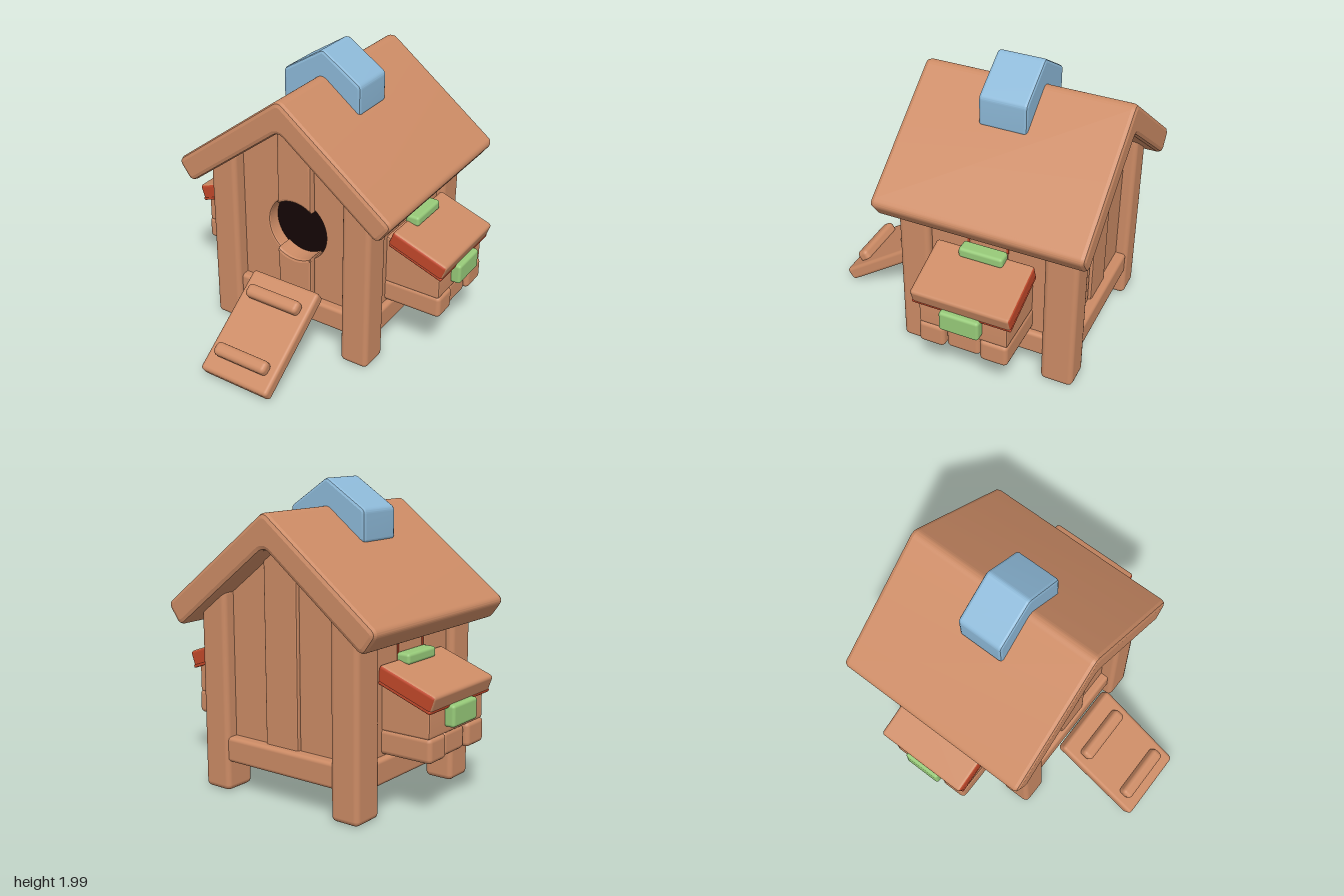
import * as THREE from 'three';
import { toCreasedNormals } from 'three/addons/utils/BufferGeometryUtils.js';
import { RoundedBoxGeometry } from 'three/addons/geometries/RoundedBoxGeometry.js';

const mat = (name, color) => {
  const m = new THREE.MeshStandardMaterial({ color });
  m.name = name;
  return m;
};

export function createModel() {
  const wood = mat('wood', 0xcc8b65);
  const red = mat('redPaint', 0xc2482a);
  const green = mat('greenPaint', 0x97ca79);
  const blue = mat('bluePaint', 0x8db9d8);
  const dark = mat('darkInterior', 0x140506);
  const model = new THREE.Group();
  model.name = 'birdhouse';

  const add = (parent, name, geometry, material) => {
    const mesh = new THREE.Mesh(geometry, material);
    mesh.name = name;
    parent.add(mesh);
    return mesh;
  };
  // Rounded block given by its min and max on each axis
  const block = (parent, name, [x0, x1], [y0, y1], [z0, z1], material = wood, r = 0.025) => {
    const mesh = add(parent, name, new RoundedBoxGeometry(x1 - x0, y1 - y0, z1 - z0, 2, r), material);
    mesh.position.set((x0 + x1) / 2, (y0 + y1) / 2, (z0 + z1) / 2);
    return mesh;
  };
  // Extruded shape between z0 and z1 with softened edges
  const slab = (parent, name, shape, z0, z1, material = wood, b = 0.012) => {
    const g = new THREE.ExtrudeGeometry(shape, {
      depth: z1 - z0 - 2 * b, bevelThickness: b, bevelSize: b, bevelOffset: -b, bevelSegments: 2, curveSegments: 16,
    });
    g.translate(0, 0, z0 + b);
    return add(parent, name, toCreasedNormals(g, 0.3), material);
  };
  // Polygon with rounded corners
  const roundedShape = (points, r) => {
    const s = new THREE.Shape();
    const p = points.map(([x, y]) => new THREE.Vector2(x, y));
    p.forEach((c, i) => {
      const prev = p[(i + p.length - 1) % p.length], next = p[(i + 1) % p.length];
      const a = c.clone().add(prev.clone().sub(c).setLength(r));
      const d = c.clone().add(next.clone().sub(c).setLength(r));
      if (i) s.lineTo(a.x, a.y); else s.moveTo(a.x, a.y);
      s.quadraticCurveTo(c.x, c.y, d.x, d.y);
    });
    s.closePath();
    return s;
  };

  const cx = -0.03; // ridge line
  const slope = 0.76;
  const under = x => 1.65 - slope * Math.abs(x - cx);

  // Gabled roof
  const a = 0.825, ye = 1.835 - slope * a;
  slab(model, 'roof', roundedShape([
    [cx, 1.84], [cx - a, ye], [cx - a + 0.105, ye - 0.142], [cx, 1.62],
    [cx + a - 0.105, ye - 0.142], [cx + a, ye],
  ], 0.05), -0.99, 0.43, wood, 0.03);

  // Blue ridge cap
  slab(model, 'ridgeCap', roundedShape([
    [cx, 2.005], [cx - 0.298, 1.815], [cx - 0.298, 1.61], [cx, 1.7], [cx + 0.288, 1.61], [cx + 0.288, 1.815],
  ], 0.025), -0.395, -0.07, blue, 0.02);

  // Corner posts and base beams
  for (const [x0, x1] of [[-0.65, -0.445], [0.385, 0.592]]) {
    block(model, 'frontPost', [x0, x1], [0.005, 1.32], [0.125, 0.34], wood, 0.035);
    block(model, 'backPost', [x0, x1], [0.005, 1.32], [-0.892, -0.668], wood, 0.035);
  }
  block(model, 'frontBeam', [-0.47, 0.41], [0.2, 0.365], [0.17, 0.3]);
  block(model, 'backBeam', [-0.47, 0.41], [0.2, 0.365], [-0.88, -0.74]);
  block(model, 'rightBeam', [-0.64, -0.5], [0.195, 0.36], [-0.69, 0.15]);
  block(model, 'leftBeam', [0.44, 0.58], [0.195, 0.36], [-0.69, 0.15]);
  block(model, 'floorBack', [-0.55, 0.49], [0.215, 0.34], [-0.78, -0.11], wood, 0.01);
  block(model, 'floorFront', [-0.55, 0.49], [0.215, 0.34], [-0.11, 0.2], wood, 0.01);

  // Front wall planks, cut around the round entrance
  const hx = -0.017, hy = 0.848, hr = 0.226, rc = 0.212, xl = -0.148, xr = 0.112;
  const dy = (x, r) => Math.sqrt(r * r - (x - hx) ** 2);
  const ang = (x, sign, r) => Math.atan2(sign * dy(x, r), x - hx);
  for (const [outer, inner] of [[-0.47, xl], [0.41, xr]]) {
    const s = new THREE.Shape();
    s.moveTo(outer, 0.25);
    s.lineTo(inner, 0.25);
    s.lineTo(inner, hy - dy(inner, hr));
    s.absarc(hx, hy, hr, ang(inner, -1, hr), ang(inner, 1, hr), inner < hx);
    s.lineTo(inner, under(inner));
    s.lineTo(outer, under(outer));
    s.closePath();
    slab(model, 'frontSidePlank', s, 0.13, 0.24);
  }
  const upper = new THREE.Shape();
  upper.moveTo(xl, under(xl));
  upper.lineTo(xl, hy + dy(xl, rc));
  upper.absarc(hx, hy, rc, ang(xl, 1, rc), ang(xr, 1, rc), true);
  upper.lineTo(xr, under(xr));
  upper.lineTo(cx, under(cx));
  upper.closePath();
  slab(model, 'frontUpperPlank', upper, 0.13, 0.28, wood, 0.02);
  const lower = new THREE.Shape();
  lower.moveTo(xr, 0.25);
  lower.lineTo(xr, hy - dy(xr, rc));
  lower.absarc(hx, hy, rc, ang(xr, -1, rc), ang(xl, -1, rc), true);
  lower.lineTo(xl, 0.25);
  lower.closePath();
  slab(model, 'frontLowerPlank', lower, 0.13, 0.28, wood, 0.02);
  add(model, 'entranceDark', new THREE.CircleGeometry(0.26, 40), dark).position.set(hx, hy, 0.145);

  // Back wall planks
  for (const [x0, x1, z] of [[-0.47, xl, -0.81], [xl, xr, -0.83], [xr, 0.41, -0.81]]) {
    const pts = [[x0, 0.25], [x1, 0.25], [x1, under(x1)]];
    if (x0 < cx && x1 > cx) pts.push([cx, under(cx)]);
    pts.push([x0, under(x0)]);
    slab(model, 'backPlank', roundedShape(pts, 0.012), z, -0.7);
  }

  // Side wall planks
  for (const [x0, x1] of [[-0.6, -0.5], [0.44, 0.54]]) {
    for (let i = 0; i < 3; i++) {
      const z = -0.67 + i * 0.267;
      block(model, 'sidePlank', [x0, x1], [0.3, 1.25], [z, z + 0.267], wood, 0.012);
    }
  }

  // Nest boxes on both sides
  for (const side of [1, -1]) {
    const box = new THREE.Group();
    box.name = side > 0 ? 'leftNestBox' : 'rightNestBox';
    model.add(box);
    if (side < 0) box.rotation.y = Math.PI;
    box.position.set(side > 0 ? 0 : -0.005, 0, -0.28);
    slab(box, 'nestBody', roundedShape([[0.5, 0.52], [0.935, 0.52], [0.935, 0.735], [0.5, 0.88]], 0.02), -0.3, 0.3);
    block(box, 'nestBaseEnd', [0.5, 0.947], [0.37, 0.53], [0.125, 0.305], wood, 0.03);
    block(box, 'nestBaseMiddle', [0.5, 0.925], [0.37, 0.525], [-0.11, 0.12], wood, 0.03);
    block(box, 'nestBaseEnd', [0.5, 0.947], [0.37, 0.53], [-0.305, -0.115], wood, 0.03);
    // Brown on top and outer edge, red on the other faces
    const lid = add(box, 'nestRoof', new RoundedBoxGeometry(0.42, 0.115, 0.67, 2, 0.022),
      [wood, red, wood, red, red, red]);
    lid.position.set(0.778, 0.812, 0);
    lid.rotation.z = -0.345;
    block(lid, 'nestRoofUnderside', [-0.2, 0.212], [-0.06, -0.038], [-0.336, 0.336], red, 0.008);
    block(box, 'nestHinge', [0.585, 0.685], [0.905, 0.975], [-0.15, 0.15], green, 0.02);
    block(box, 'nestLatch', [0.92, 1], [0.565, 0.705], [-0.135, 0.135], green, 0.02);
    // Red paint showing in the wall seams above the lid
    const wallX = side > 0 ? 0.538 : 0.593;
    for (const z of [-0.125, 0.142]) {
      block(box, 'seamPaint', [wallX, wallX + 0.006], [0.92, 1.1], [z - 0.008, z + 0.008], red, 0.002);
    }
  }

  // Entry ramp with two rungs
  const ramp = new THREE.Group();
  ramp.name = 'ramp';
  ramp.position.set(-0.012, 0.268, 0.67);
  ramp.rotation.x = 0.611;
  model.add(ramp);
  block(ramp, 'rampBoard', [-0.265, 0.265], [-0.048, 0.048], [-0.378, 0.378], wood, 0.025);
  for (const z of [-0.22, 0.22]) {
    block(ramp, 'rung', [-0.205, 0.205], [0.03, 0.117], [z - 0.045, z + 0.045], wood, 0.03);
  }
  return model;
}
